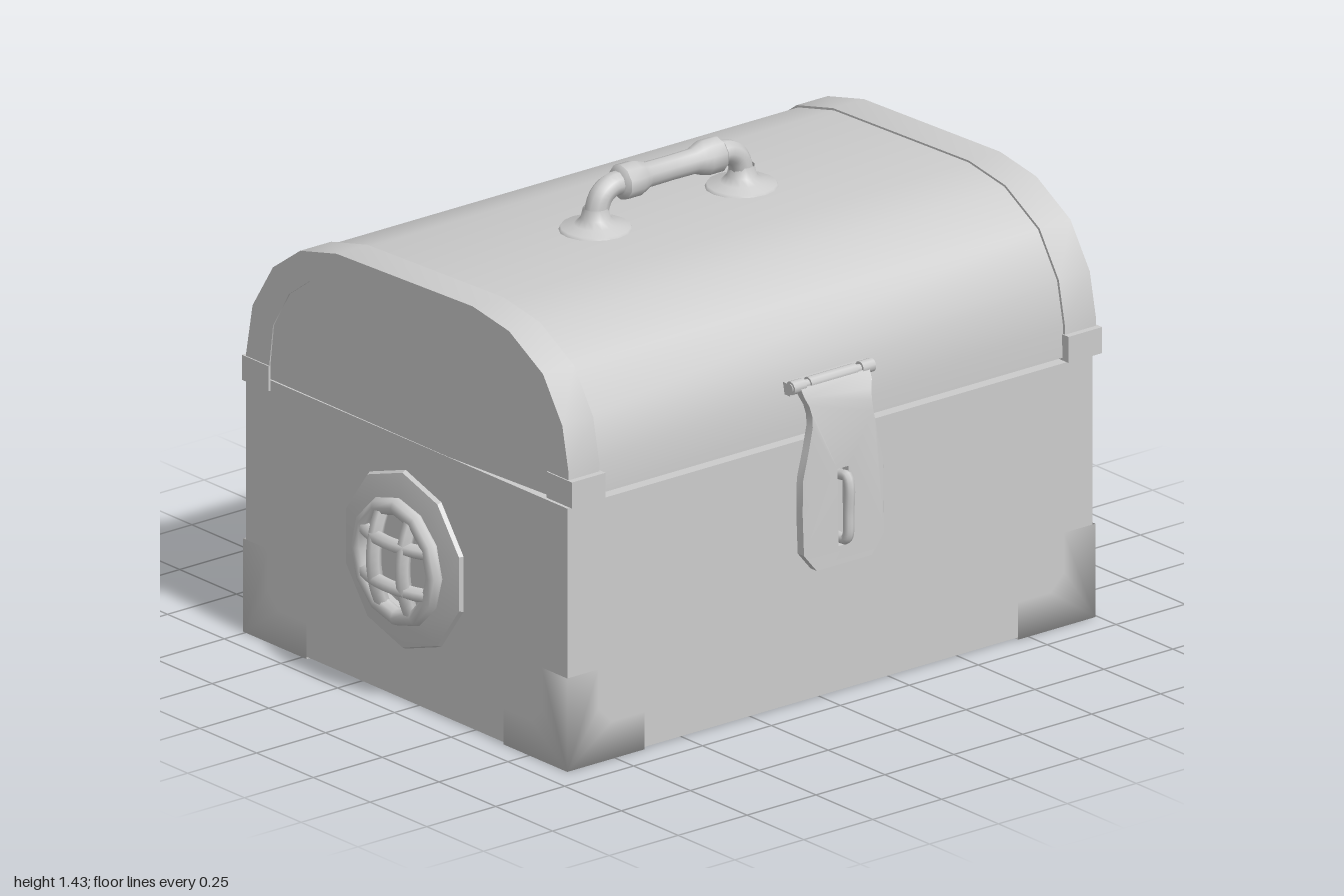
import * as THREE from 'three';
import { mergeGeometries, mergeVertices, toCreasedNormals } from 'three/addons/utils/BufferGeometryUtils.js';

const material = new THREE.MeshStandardMaterial({ color: 0xcccccc, side: THREE.DoubleSide });
const V = (x, y, z) => new THREE.Vector3(x, y, z);
const shapeOf = (pts) => new THREE.Shape(pts.map(([x, y]) => new THREE.Vector2(x, y)));

function add(parent, name, geometry, x = 0, y = 0, z = 0) {
  const mesh = new THREE.Mesh(geometry, material);
  mesh.name = name;
  mesh.position.set(x, y, z);
  parent.add(mesh);
  return mesh;
}

// Box given by its minimum and maximum corners
function block(parent, name, [x0, y0, z0], [x1, y1, z1]) {
  return add(parent, name, new THREE.BoxGeometry(x1 - x0, y1 - y0, z1 - z0),
    (x0 + x1) / 2, (y0 + y1) / 2, (z0 + z1) / 2);
}

// Profile extruded along z, smooth over the arch and sharp at the ends
function extrudeZ(pts, z0, z1) {
  const g = new THREE.ExtrudeGeometry(shapeOf(pts), { depth: z1 - z0, bevelEnabled: false });
  return toCreasedNormals(g.translate(0, 0, z0), 0.7);
}

const tube = (pts, radius, segments = 24, sides = 8) =>
  new THREE.TubeGeometry(new THREE.CatmullRomCurve3(pts), segments, radius, sides);

// Lid arch, from the hinge side over the top to the latch side
const outer = [[-0.755, 0.79], [-0.748, 0.84], [-0.72, 0.99], [-0.63, 1.13], [-0.51, 1.215], [-0.35, 1.253],
  [0.25, 1.272], [0.41, 1.245], [0.56, 1.16], [0.645, 1.03], [0.672, 0.9], [0.674, 0.805]];
const inner = [[-0.65, 0.79], [-0.645, 0.84], [-0.63, 0.955], [-0.56, 1.07], [-0.47, 1.135], [-0.34, 1.163],
  [0.24, 1.18], [0.36, 1.157], [0.485, 1.09], [0.56, 0.98], [0.583, 0.88], [0.585, 0.805]];

function addLid(model) {
  const lid = new THREE.Group();
  lid.name = 'lid';
  model.add(lid);
  const inset = outer.map(([x, y]) => [-0.035 + (x + 0.035) * 0.988, 0.79 + (y - 0.79) * 0.988]);
  add(lid, 'lidShell', extrudeZ([...inset, [0.14, 0.787]], -0.987, 0.918));
  // Bands and their feet at both ends
  for (const [z0, z1] of [[0.81, 0.922], [-0.991, -0.879]]) {
    add(lid, 'lidBand', extrudeZ([...outer, ...[...inner].reverse()], z0, z1));
    block(lid, 'hingeSideFoot', [-0.762, 0.755, z0 - 0.006], [-0.645, 0.83, z1 + 0.004]);
    block(lid, 'latchSideFoot', [0.58, 0.797, z0 - 0.006], [0.692, 0.875, z1 + 0.004]);
  }
  // Small hinge tabs
  for (const z of [0.88, -0.957]) {
    const tab = add(lid, 'hingeTab', new THREE.BoxGeometry(0.016, 0.045, 0.045), -0.772, 0.775, z);
    tab.rotation.z = -0.4;
  }
}

// Protective corner: three L-shaped faces sharing smooth edges
function cornerGeometry() {
  const a = 0.28, w = 0.112, c = 0.05;
  const L = new THREE.ShapeGeometry(shapeOf([[0, 0], [a, 0], [a, w], [w + c, w], [w, w + c], [w, a], [0, a]]));
  L.deleteAttribute('normal');
  L.deleteAttribute('uv');
  const place = (map) => {
    const g = L.clone(), p = g.attributes.position;
    for (let i = 0; i < p.count; i++) p.setXYZ(i, ...map(p.getX(i), p.getY(i)));
    return g;
  };
  const g = mergeVertices(mergeGeometries([
    place((u, v) => [-v, u, 0]), place((u, v) => [0, v, -u]), place((u, v) => [-u, 0, -v])]));
  g.computeVertexNormals();
  return g;
}

function addLatch(model) {
  const latch = new THREE.Group();
  latch.name = 'latch';
  latch.position.z = -0.02;
  model.add(latch);
  // Hasp plate, bent in at the top towards its pin
  const half = [[0.1, 0.42], [0.145, 0.475], [0.147, 0.6], [0.145, 0.7], [0.125, 0.78], [0.11, 0.85],
    [0.108, 0.88], [0.112, 0.91], [0.122, 0.935], [0.125, 0.96]];
  const plate = shapeOf([...half, ...half.map(([s, y]) => [-s, y]).reverse()]);
  plate.holes.push(new THREE.Path([[-0.02, 0.475], [-0.02, 0.705], [0.02, 0.705], [0.02, 0.475]]
    .map(([x, y]) => new THREE.Vector2(x, y))));
  let g = new THREE.ExtrudeGeometry(plate, { depth: 0.028, bevelEnabled: false }).rotateY(Math.PI / 2);
  const p = g.attributes.position;
  for (let i = 0; i < p.count; i++) {
    const y = p.getY(i), t = Math.max(0, (y - 0.84) / 0.12);
    p.setX(i, p.getX(i) + 0.71 - 0.035 * t * t + 0.03 * Math.max(0, 0.6 - y));
  }
  add(latch, 'hasp', toCreasedNormals(g, 0.6));
  // Pin with knuckles, and its mount on the lid
  const pin = (name, r, len, z) =>
    add(latch, name, new THREE.CylinderGeometry(r, r, len, 10).rotateX(Math.PI / 2), 0.685, 0.962, z);
  pin('haspPin', 0.013, 0.3, 0);
  pin('haspKnuckle', 0.019, 0.17, 0);
  for (const s of [-1, 1]) pin('mountKnuckle', 0.02, 0.045, s * 0.125);
  block(latch, 'haspMount', [0.645, 0.935, -0.145], [0.68, 0.97, 0.145]);
  // Staple through the slot
  add(latch, 'staple', tube([V(0.66, 0.68, 0), V(0.72, 0.68, 0), V(0.755, 0.683, 0), V(0.765, 0.66, 0),
    V(0.763, 0.58, 0), V(0.76, 0.51, 0), V(0.748, 0.493, 0), V(0.72, 0.493, 0), V(0.66, 0.493, 0)], 0.016, 40));
  for (const y of [0.68, 0.493])
    add(latch, 'stapleBase', new THREE.CylinderGeometry(0.023, 0.026, 0.012, 10).rotateZ(-Math.PI / 2), 0.668, y, 0);
}

function addHandle(model) {
  const handle = new THREE.Group();
  handle.name = 'handle';
  handle.position.set(-0.03, 1.263, -0.02);
  model.add(handle);
  for (const s of [-1, 1]) {
    const flare = [[0.105, -0.008], [0.1, 0.004], [0.062, 0.012], [0.043, 0.03], [0.036, 0.06]];
    add(handle, 'handleBase', new THREE.LatheGeometry(flare.map(([r, y]) => new THREE.Vector2(r, y)), 16), 0, 0, s * 0.265);
    add(handle, 'handleLeg', tube([V(0, 0.01, s * 0.265), V(0, 0.05, s * 0.262), V(0, 0.09, s * 0.245),
      V(0, 0.112, s * 0.21), V(0, 0.113, s * 0.17)], 0.035, 16, 10));
  }
  // Grip with a collar at each end
  const grip = [[0, -0.186], [0.04, -0.186], [0.052, -0.175], [0.052, -0.125], [0.045, -0.105], [0.037, -0.085],
    [0.036, 0], [0.037, 0.085], [0.045, 0.105], [0.052, 0.125], [0.052, 0.175], [0.04, 0.186], [0, 0.186]];
  add(handle, 'handleGrip', toCreasedNormals(new THREE.LatheGeometry(
    grip.map(([r, y]) => new THREE.Vector2(r, y)), 10).rotateX(Math.PI / 2), 0.8), 0, 0.113, 0);
}

function addVent(model) {
  const vent = new THREE.Group();
  vent.name = 'vent';
  vent.position.set(-0.05, 0.425, 0.918);
  model.add(vent);
  // Ten-sided backing plate and rim
  const profile = [[0.268, 0], [0.262, 0.012], [0.19, 0.022], [0.15, 0.022], [0.14, 0.006], [0, 0.006]];
  add(vent, 'ventPlate', toCreasedNormals(new THREE.LatheGeometry(
    profile.map(([r, y]) => new THREE.Vector2(r, y)), 10).rotateX(Math.PI / 2), 0.4));
  add(vent, 'ventRim', new THREE.TorusGeometry(0.165, 0.026, 8, 12), 0, 0, 0.03);
  // Domed grille of crossing bars
  for (const d of [-0.064, 0.064]) {
    const reach = Math.sqrt(0.165 ** 2 - d * d);
    const arc = [-1, -0.6, -0.2, 0.2, 0.6, 1].map((t) => [t * reach, 0.07 - 1.6 * ((t * reach) ** 2 + d * d)]);
    add(vent, 'uprightBar', tube(arc.map(([t, z]) => V(d, t, z)), 0.022, 12, 6));
    add(vent, 'crossBar', tube(arc.map(([t, z]) => V(t, d, z)), 0.022, 12, 6));
  }
}

export function createModel() {
  const model = new THREE.Group();
  model.name = 'chest';
  block(model, 'chestBody', [-0.754, 0.004, -0.987], [0.662, 0.786, 0.918]);
  addLid(model);
  // Mirrored corner guards
  const guard = cornerGeometry();
  for (const sx of [-1, 1]) for (const sz of [-1, 1]) {
    const corner = add(model, 'cornerGuard', guard, sx > 0 ? 0.668 : -0.76, 0, sz > 0 ? 0.923 : -0.992);
    corner.scale.set(sx, 1, sz);
  }
  addLatch(model);
  addHandle(model);
  addVent(model);
  return model;
}
